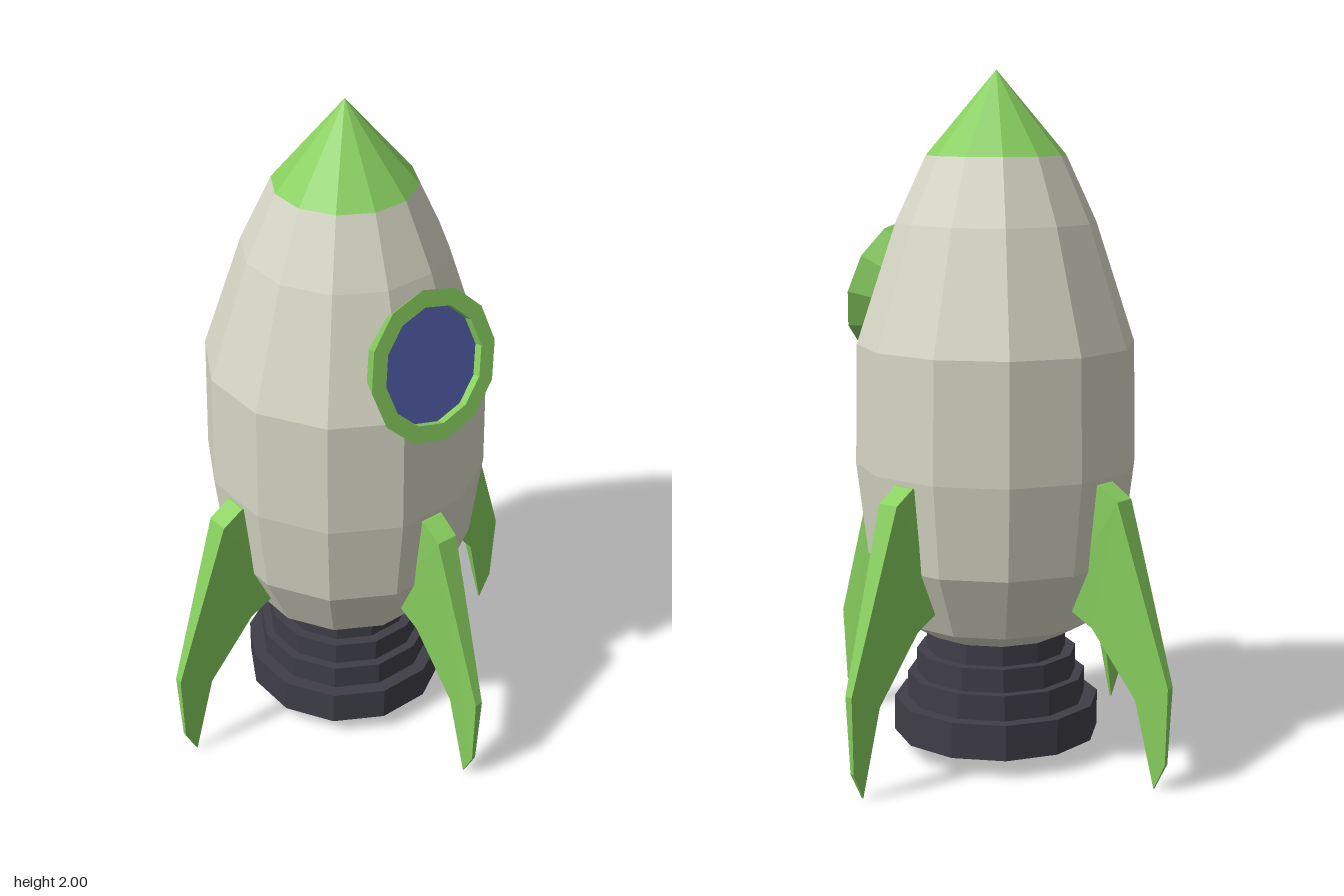
import * as THREE from 'three';

const hullPaint = new THREE.MeshStandardMaterial({ color: 0xd6d6c5 });
hullPaint.name = 'warm grey';
const green = new THREE.MeshStandardMaterial({ color: 0x88cf5f });
green.name = 'green';
const darkMetal = new THREE.MeshStandardMaterial({ color: 0x3f3e48 });
darkMetal.name = 'dark metal';
const glass = new THREE.MeshStandardMaterial({ color: 0x525eaa });
glass.name = 'blue glass';

const SIDES = 12;

// Split the faces apart so every facet is flat
function faceted(geometry, material, name) {
  const flat = geometry.toNonIndexed();
  flat.computeVertexNormals();
  const mesh = new THREE.Mesh(flat, material);
  mesh.name = name;
  return mesh;
}

function turned(profile, material, name, start = Math.PI / SIDES) {
  const points = profile.map(([r, y]) => new THREE.Vector2(r, y));
  return faceted(new THREE.LatheGeometry(points, SIDES, start), material, name);
}

// Swept fin, outline points are [x, y, half thickness]
function finGeometry() {
  const outline = [
    [0.28, 0.855, 0.034], [0.4, 0.855, 0.034], [0.465, 0.815, 0.033], [0.63, 0.305, 0.012],
    [0.62, 0.08, 0.006], [0.58, 0, 0.003], [0.52, 0.25, 0.013],
    [0.375, 0.435, 0.025], [0.26, 0.5, 0.034],
  ];
  const shape = new THREE.Shape(outline.map(([x, y]) => new THREE.Vector2(x, y)));
  const geometry = new THREE.ExtrudeGeometry(shape, { depth: 1, bevelEnabled: false });
  const pos = geometry.attributes.position;
  for (let i = 0; i < pos.count; i++) {
    const x = pos.getX(i), y = pos.getY(i);
    const match = outline.find((p) => Math.hypot(p[0] - x, p[1] - y) < 1e-4);
    pos.setZ(i, pos.getZ(i) > 0.5 ? match[2] : -match[2]);
  }
  geometry.computeVertexNormals();
  return geometry;
}

export function createModel() {
  const rocket = new THREE.Group();
  rocket.name = 'rocket';

  // Hull and nose
  rocket.add(turned([
    [0, 0.36], [0.2, 0.36], [0.287, 0.41], [0.378, 0.6], [0.411, 0.87],
    [0.405, 1.22], [0.29, 1.57], [0.202, 1.76],
  ], hullPaint, 'hull'));
  rocket.add(turned([[0.202, 1.76], [0, 2]], green, 'noseCone'));

  // Stepped engine nozzle with a hollow bell
  rocket.add(turned([
    [0, 0.26], [0.13, 0.26], [0.21, 0.055], [0.305, 0.055], [0.305, 0.16],
    [0.265, 0.16], [0.265, 0.235], [0.238, 0.235], [0.238, 0.305],
    [0.207, 0.305], [0.207, 0.38],
  ], darkMetal, 'nozzle'));

  // Porthole, tilted to follow the hull
  const porthole = new THREE.Group();
  porthole.name = 'porthole';
  porthole.add(turned([
    [0.16, -0.1], [0.217, 0], [0.168, 0], [0.168, -0.035],
  ], green, 'portholeFrame', 0));
  porthole.add(turned([[0.168, -0.025], [0, -0.025]], glass, 'portholeGlass', 0));
  porthole.position.set(0, 1.36, 0.388);
  porthole.rotation.x = THREE.MathUtils.degToRad(75);
  rocket.add(porthole);

  // Four fins
  const geometry = finGeometry();
  ['leftFin', 'backFin', 'rightFin', 'frontFin'].forEach((name, i) => {
    const fin = new THREE.Mesh(geometry, green);
    fin.name = name;
    fin.rotation.y = i * Math.PI / 2;
    rocket.add(fin);
  });

  return rocket;
}
